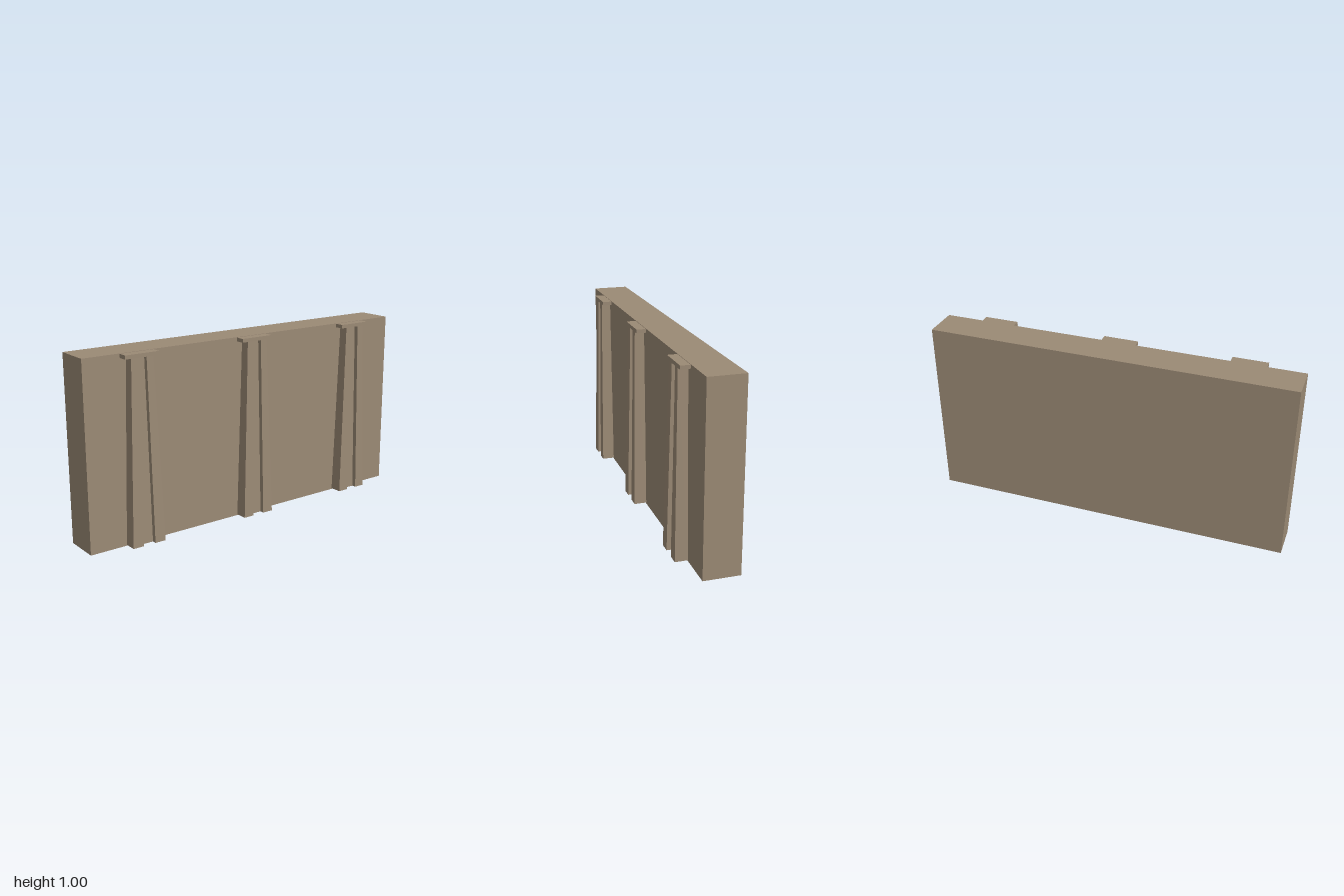
import * as THREE from 'three';

const BOTTOM = 0.005, TOP = 0.978, WALL_FACE = 0.063;

// Grooved cross-section (x outwards, y along the wall)
function section(outer, inner, front, floor) {
  const back = WALL_FACE - 0.005;
  return [
    [back, -outer], [front, -outer], [front, -inner], [floor, -inner],
    [floor, inner], [front, inner], [front, outer], [back, outer],
  ].map(([x, y]) => new THREE.Vector2(x, y));
}

// Upright prism whose lower section tapers into the upper one
function taperedPrism(lower, upper, y0, y1) {
  const geo = new THREE.ExtrudeGeometry(new THREE.Shape(lower), { depth: 1, bevelEnabled: false });
  const pos = geo.attributes.position;
  const p = new THREE.Vector2();
  for (let i = 0; i < pos.count; i++) {
    const isTop = pos.getZ(i) > 0.5;
    p.set(pos.getX(i), pos.getY(i));
    const k = lower.findIndex((q) => q.distanceTo(p) < 1e-4);
    const q = isTop ? upper[k] : lower[k];
    pos.setXYZ(i, q.x, isTop ? y1 : y0, -q.y);
  }
  geo.computeVertexNormals();
  return geo;
}

export function createModel() {
  const model = new THREE.Group();
  const stone = new THREE.MeshStandardMaterial({ color: 0x9b8a75 });
  stone.name = 'stone';

  const add = (parent, name, geo, x = 0, y = 0, z = 0) => {
    const mesh = new THREE.Mesh(geo, stone);
    mesh.name = name;
    mesh.position.set(x, y, z);
    parent.add(mesh);
  };

  // Main slab
  add(model, 'wall', new THREE.BoxGeometry(0.196, 1, 2), WALL_FACE - 0.098, 0.5, 0);

  // Tapered, grooved buttresses with flat caps
  const shaft = taperedPrism(
    section(0.095, 0.034, 0.131, 0.106),
    section(0.062, 0.024, 0.114, 0.091),
    BOTTOM, TOP,
  );
  const cap = new THREE.BoxGeometry(0.056, 0.02, 0.19);
  for (const z of [-0.7, 0, 0.7]) {
    const buttress = new THREE.Group();
    buttress.name = 'buttress';
    buttress.position.z = z;
    add(buttress, 'buttressShaft', shaft);
    add(buttress, 'buttressCap', cap, 0.086, TOP + 0.01, 0);
    model.add(buttress);
  }
  return model;
}
